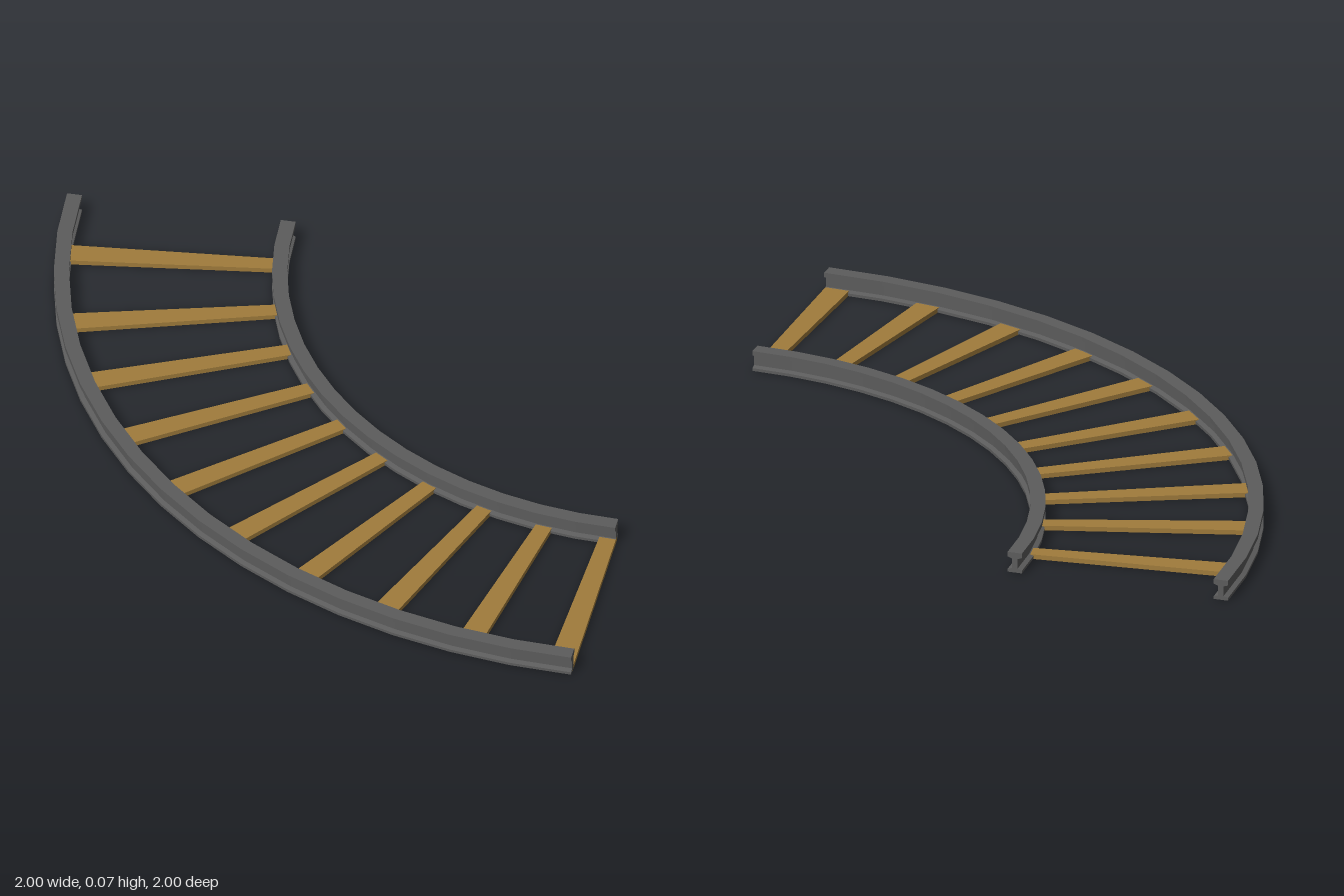
import * as THREE from 'three';
import { mergeGeometries } from 'three/addons/utils/BufferGeometryUtils.js';

const rad = THREE.MathUtils.degToRad;

// Sweep a closed [radius, height] profile around the y axis.
// Angles in degrees: 0 points to -x, 90 points to +z.
function sweep(profile, from, to, segments) {
  const pts = profile.map(([r, y]) => new THREE.Vector2(r, y));
  const side = new THREE.LatheGeometry([...pts, pts[0]], segments, rad(from - 90), rad(to - from));
  const cap = (deg) => new THREE.ShapeGeometry(new THREE.Shape(pts)).rotateY(rad(deg + 180));
  return mergeGeometries([side, cap(from), cap(to)]);
}

// I-beam cross-section, counter-clockwise, centred on a radius
function railProfile(radius) {
  const right = [
    [0.0235, 0.002], [0.0235, 0.011], [0.009, 0.016],
    [0.009, 0.048], [0.0235, 0.053], [0.0235, 0.068],
  ];
  const left = right.map(([x, y]) => [-x, y]).reverse();
  return [...right, ...left].map(([x, y]) => [radius + x, y]);
}

export function createModel() {
  const track = new THREE.Group();
  track.name = 'curvedTrack';

  const steel = new THREE.MeshStandardMaterial({ color: 0x5c5c5c, flatShading: true, side: THREE.DoubleSide });
  const wood = new THREE.MeshStandardMaterial({ color: 0xa07c3c, flatShading: true, side: THREE.DoubleSide });

  const add = (name, geometry, material) => {
    const mesh = new THREE.Mesh(geometry, material);
    mesh.name = name;
    mesh.position.set(1, 0, -1); // centre of the curve
    track.add(mesh);
  };

  // Rails: quarter circles
  add('outerRail', sweep(railProfile(1.9765), 0, 90, 16), steel);
  add('innerRail', sweep(railProfile(1.303), 0, 90, 16), steel);

  // Sleepers: thin radial wedges tucked under both rails
  const plank = [[1.295, 0], [1.975, 0], [1.975, 0.015], [1.295, 0.015]];
  const width = 2.3;
  for (let i = 0; i < 10; i++) {
    const start = i === 9 ? 5.5 : 90 - width - i * 9;
    add('sleeper' + (i + 1), sweep(plank, start, start + width, 1), wood);
  }
  return track;
}
